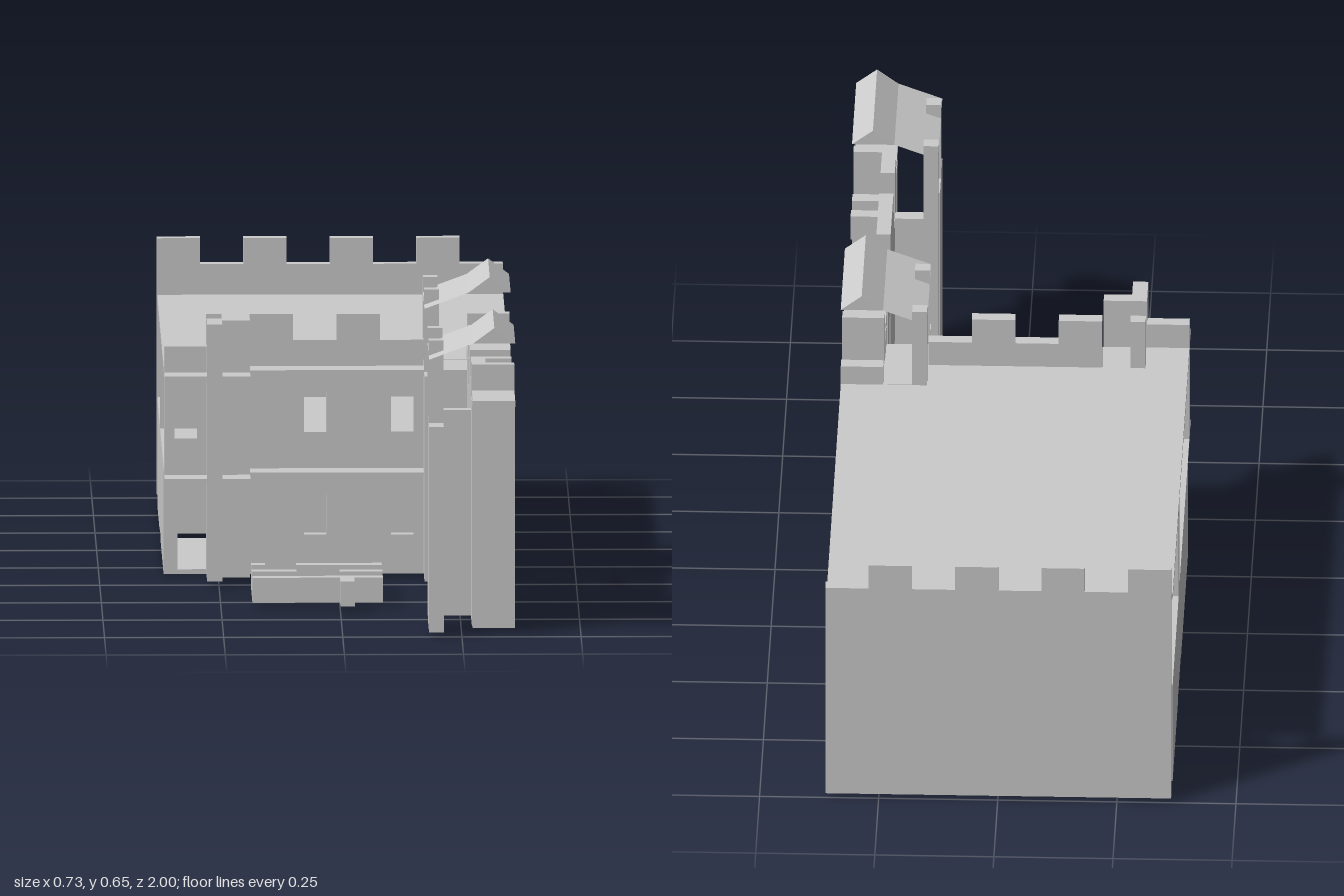
import * as THREE from 'three';

const mat = new THREE.MeshStandardMaterial({ color: 0xcccccc, flatShading: true, side: THREE.DoubleSide });

export function createModel() {
  const root = new THREE.Group();

  // Box given by its limits along each axis
  function box(name, x0, x1, y0, y1, z0, z1, parent = root) {
    const m = new THREE.Mesh(new THREE.BoxGeometry(x1 - x0, y1 - y0, z1 - z0), mat);
    m.position.set((x0 + x1) / 2, (y0 + y1) / 2, (z0 + z1) / 2);
    m.name = name;
    parent.add(m);
  }

  // Wall drawn in the xy plane from an outline, with rectangular windows, extruded along z
  function wall(name, outline, windows, depth) {
    const shape = new THREE.Shape(outline.map(p => new THREE.Vector2(...p)));
    for (const [x0, x1, y0, y1] of windows) {
      shape.holes.push(new THREE.Path([[x0, y0], [x0, y1], [x1, y1], [x1, y0]].map(p => new THREE.Vector2(...p))));
    }
    const m = new THREE.Mesh(new THREE.ExtrudeGeometry(shape, { depth, bevelEnabled: false }), mat);
    m.name = name;
    root.add(m);
    return m;
  }

  // Battlement outline: equal steps, each one raised (1) or low (0)
  function battlement(x0, x1, base, low, high, pattern) {
    const pts = [[x0, base], [x1, base]];
    const step = (x1 - x0) / pattern.length;
    for (let i = pattern.length - 1; i >= 0; i--) {
      const y = pattern[i] ? high : low;
      pts.push([x0 + step * (i + 1), y], [x0 + step * i, y]);
    }
    return pts;
  }

  // Back wall
  wall('backWall', battlement(-0.364, 0.362, 0.01, 0.5, 0.555, [1, 0, 1, 0, 1, 0, 1, 0]), [], 0.028)
    .position.z = -1;

  // Front wall with windows
  const frontWindows = [];
  for (const x of [-0.07, 0.113]) {
    for (const y of [0.087, 0.305]) frontWindows.push([x, x + 0.047, y, y + 0.087]);
  }
  wall('frontWall', battlement(-0.184, 0.181, 0.01, 0.5, 0.555, [1, 0, 1, 0]), frontWindows, 0.028)
    .position.z = 0.09;

  // Side wall running forward between the two roofed towers
  const sideWindows = [];
  for (const z of [0.39, 0.66]) {
    for (const y of [0.087, 0.305]) sideWindows.push([-z - 0.047, -z, y, y + 0.087]);
  }
  const side = wall('sideWall', battlement(-0.82, -0.277, 0.01, 0.445, 0.555, [1, 0, 1, 1, 0, 1]), sideWindows, 0.03);
  side.rotation.y = Math.PI / 2;
  side.position.x = 0.272;
  for (const z of [0.363, 0.637]) box('sideBeam', 0.272, 0.362, 0.445, 0.5, z, z + 0.028);

  // Floors
  box('roofFloor', -0.364, 0.362, 0.433, 0.445, -0.905, 0.18);
  box('middleFloor', -0.364, 0.362, 0.222, 0.228, -0.905, 0.18);
  box('groundFloorBack', -0.364, 0.181, 0, 0.01, -0.905, -0.545);
  box('groundFloorFront', -0.364, 0.181, 0, 0.01, -0.36, 0.09);

  // House walls of both storeys
  box('lowerRightWall', 0.272, 0.302, 0.01, 0.222, -0.905, 0);
  box('lowerLeftWall', -0.364, -0.335, 0.01, 0.222, -0.905, 0.1);
  box('lowerCrossWall', -0.364, 0.362, 0.01, 0.222, -0.45, -0.42);
  box('upperRightWall', 0.272, 0.302, 0.228, 0.433, -0.905, -0.54);
  for (const x of [-0.364, 0.25]) box('upperPier', x, x + 0.112, 0.228, 0.433, -0.51, -0.455);

  // Left corner tower
  for (const [y0, y1] of [[0.222, 0.228], [0.433, 0.445]]) box('leftTowerFloor', -0.364, -0.184, y0, y1, 0.18, 0.268);
  for (const [z0, z1] of [[0.09, 0.118], [0.21, 0.268]]) box('leftTowerPost', -0.275, -0.243, 0.01, 0.555, z0, z1);
  box('leftTowerFrontWall', -0.275, -0.184, 0.01, 0.555, 0.182, 0.21);
  wall('leftTowerWindowWall', [[-0.364, 0.228], [-0.275, 0.228], [-0.275, 0.5], [-0.364, 0.5]],
    [[-0.343, -0.295, 0.305, 0.392]], 0.028).position.z = 0.182;

  // Two matching towers with roofs
  for (const dz of [0, 0.73]) {
    const tower = new THREE.Group();
    tower.name = dz ? 'frontTower' : 'rearTower';
    tower.position.z = dz;
    root.add(tower);
    for (const z of [0, 0.182]) {
      box('towerPost', 0.181, 0.212, 0.01, 0.62, z, z + 0.03, tower);
      box('towerPanel', 0.273, 0.362, 0.01, 0.487, z, z + 0.03, tower);
    }
    box('towerRearPanel', 0.212, 0.273, 0.01, 0.446, 0, 0.03, tower);
    box('towerInnerWall', 0.181, 0.212, 0.01, 0.445, 0.118, 0.27, tower);
    box('towerLowerWall', 0.272, 0.302, 0.01, 0.228, 0.03, 0.182, tower);
    box('towerUpperWall', 0.272, 0.302, 0.228, 0.487, 0.118, 0.182, tower);
    box('towerUpperPanel', 0.273, 0.362, 0.228, 0.555, 0.09, 0.118, tower);
    box('towerShelf', 0.273, 0.362, 0.487, 0.5, 0.09, 0.27, tower);

    // Gable and the sheet sloping down beside it
    const gable = new THREE.Shape([[0.273, 0.622], [0.362, 0.622], [0.318, 0.655]].map(p => new THREE.Vector2(...p)));
    const roof = new THREE.Mesh(new THREE.ExtrudeGeometry(gable, { depth: 0.27, bevelEnabled: false }), mat);
    roof.name = 'towerRoof';
    tower.add(roof);
    const sheet = new THREE.Mesh(new THREE.PlaneGeometry(Math.hypot(0.092, 0.034), 0.27).rotateX(-Math.PI / 2), mat);
    sheet.rotation.z = Math.atan2(0.034, 0.092);
    sheet.position.set(0.227, 0.605, 0.135);
    sheet.name = 'roofSheet';
    tower.add(sheet);
  }

  // Low garden walls: x0, x1, z0, z1
  for (const [x0, x1, z0, z1] of [
    [-0.184, -0.155, 0.36, 0.39], [-0.09, 0.09, 0.36, 0.39],
    [-0.184, -0.09, 0.455, 0.483], [0, 0.09, 0.455, 0.483],
    [-0.184, 0.09, 0.545, 0.573], [0, 0.03, 0.573, 0.63],
  ]) box('gardenWall', x0, x1, 0.01, 0.063, z0, z1);

  return root;
}
